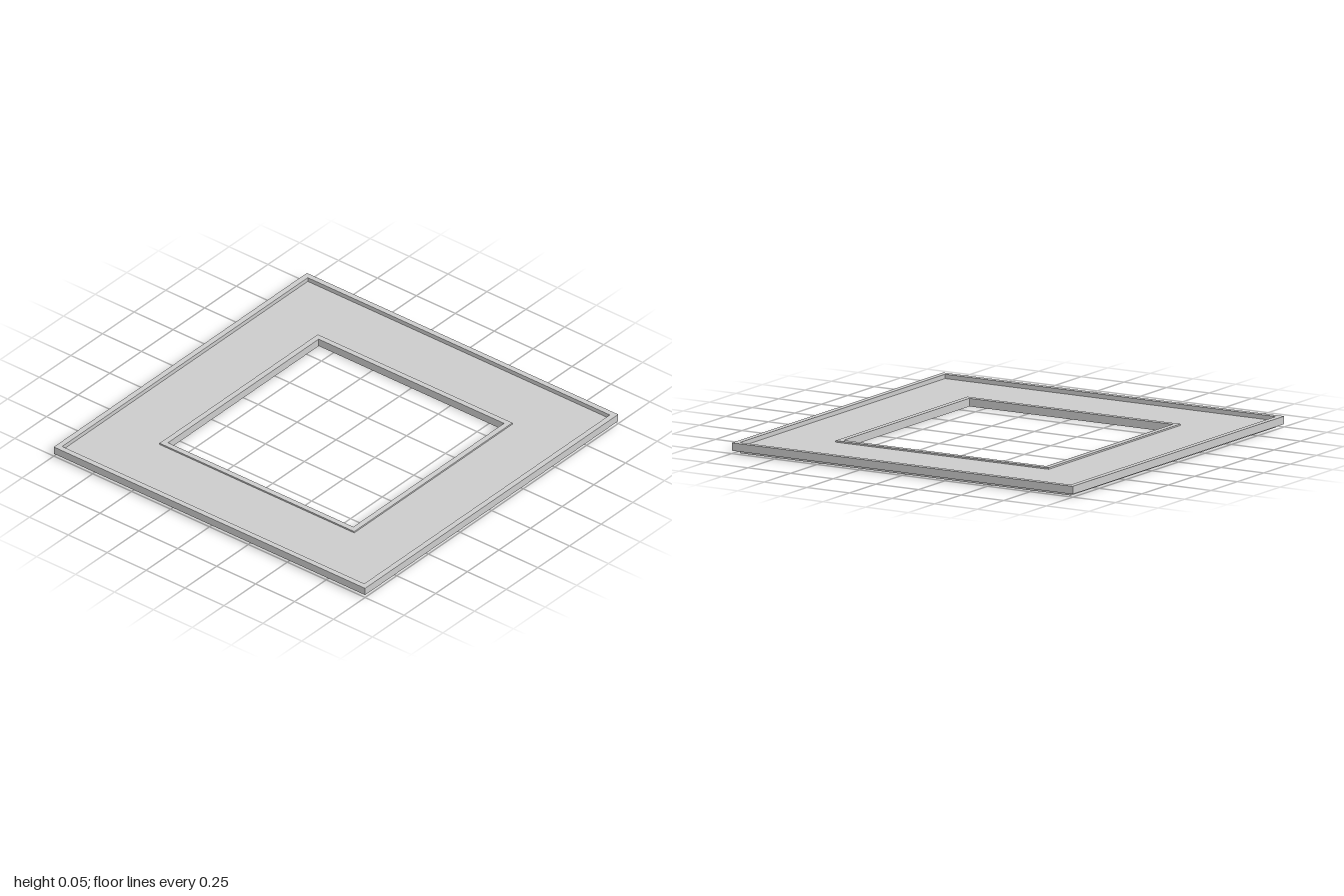
import * as THREE from 'three';

// Square ring with mitred corners: profile points are [half side, height].
// Four-sided lathe, turned so its flat sides face the axes.
function squareRing(name, profile, material) {
  const points = profile.map(([r, y]) => new THREE.Vector2(r * Math.SQRT2, y));
  points.push(points[0].clone());
  const geometry = new THREE.LatheGeometry(points, 4, Math.PI / 4).toNonIndexed();
  geometry.computeVertexNormals();
  const mesh = new THREE.Mesh(geometry, material);
  mesh.name = name;
  return mesh;
}

export function createModel() {
  const group = new THREE.Group();
  group.name = 'squareFrame';
  const material = new THREE.MeshStandardMaterial({ color: 0xcccccc, flatShading: true });

  const hole = 0.595, lip = 0.625, inset = 0.97, outer = 1;
  const step = 0.015, floor = 0.033, lipTop = 0.041, top = 0.055;

  // One closed section, counter-clockwise: stepped underside, raised outer rim,
  // recessed floor and a low lip around the opening
  group.add(squareRing('framePlate', [
    [hole, 0], [inset, 0],
    [inset, step], [outer, step],
    [outer, top], [inset, top],
    [inset, floor], [lip, floor],
    [lip, lipTop], [hole, lipTop],
  ], material));

  return group;
}
